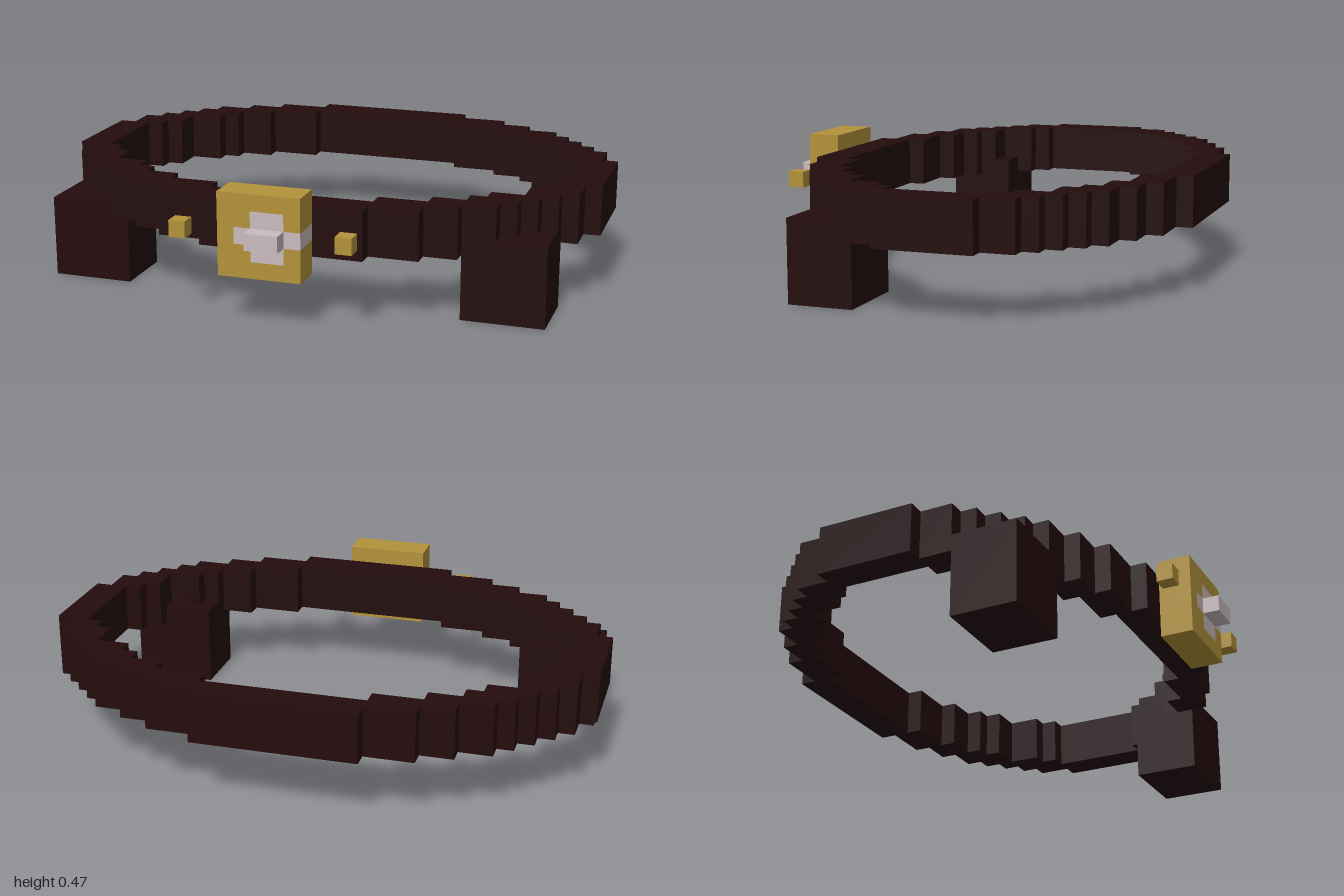
import * as THREE from 'three';

const U = 2 / 34; // edge of one block

function material(name, color) {
  const m = new THREE.MeshStandardMaterial({ color });
  m.name = name;
  return m;
}

export function createModel() {
  const model = new THREE.Group();
  model.name = 'belt';
  const leather = material('dark leather', 0x240c0d);
  const gold = material('gold', 0xb3923a);
  const silver = material('silver', 0xcbbbbe);

  // box given by its limits in blocks
  function box(parent, name, mat, x0, x1, y0, y1, z0, z1) {
    const mesh = new THREE.Mesh(
      new THREE.BoxGeometry((x1 - x0) * U, (y1 - y0) * U, (z1 - z0) * U), mat);
    mesh.position.set((x0 + x1) / 2 * U, (y0 + y1) / 2 * U, (z0 + z1) / 2 * U);
    mesh.name = name;
    parent.add(mesh);
  }

  function group(name) {
    const g = new THREE.Group();
    g.name = name;
    model.add(g);
    return g;
  }

  // Belt: stepped oval, mirrored left/right and front/back around z = -1.5
  const strap = group('strap');
  const steps = [ // x0, x1, z0, z1 of the back left quarter
    [5, 8, -12.5, -10.5],
    [8, 10, -11.5, -9.5],
    [10, 12, -10.5, -8.5],
    [11, 13, -9.5, -7.5],
    [12, 14, -8.5, -7.5],
    [13, 15, -7.5, -5.5],
    [14, 16, -6.5, -4.5],
  ];
  for (const [x0, x1, z0, z1] of steps) {
    for (const [a, b] of [[x0, x1], [-x1, -x0]]) {
      box(strap, 'strapStep', leather, a, b, 4, 7, z0, z1);
      box(strap, 'strapStep', leather, a, b, 4, 7, -3 - z1, -3 - z0);
    }
  }
  box(strap, 'strapBack', leather, -5, 5, 4, 7, -13.5, -11.5);
  box(strap, 'strapFront', leather, -5, 5, 4, 7, 8.5, 10.5);
  box(strap, 'strapLeft', leather, 15, 17, 4, 7, -4.5, 1.5);
  box(strap, 'strapRight', leather, -17, -15, 4, 7, -4.5, 1.5);

  // Pouches
  box(model, 'leftPouch', leather, 10, 15, 0, 5, 3.5, 7.5);
  box(model, 'rightPouch', leather, -16, -11, 0, 5, 3.5, 7.5);

  // Buckle: gold frame around a flush silver cross
  const buckle = group('buckle');
  const frame = [ // x0, x1, y0, y1
    [-3, 2, 3, 4], [-3, 2, 7, 8], [-3, -2, 5, 6],
    [-3, -1, 4, 5], [1, 2, 4, 5], [-3, -1, 6, 7], [1, 2, 6, 7],
  ];
  for (const f of frame) box(buckle, 'buckleFrame', gold, ...f, 10.5, 12.5);
  const cross = [[-2, 2, 5, 6], [-1, 1, 4, 5], [-1, 1, 6, 7]];
  for (const c of cross) box(buckle, 'buckleCross', silver, ...c, 10.5, 12.5);
  box(buckle, 'buckleKnob', silver, -1, 1, 5, 6, 12.5, 13.5);

  // Studs beside the buckle
  for (const x of [-6, 4]) box(model, 'stud', gold, x, x + 1, 5, 6, 11.5, 12.5);

  return model;
}
